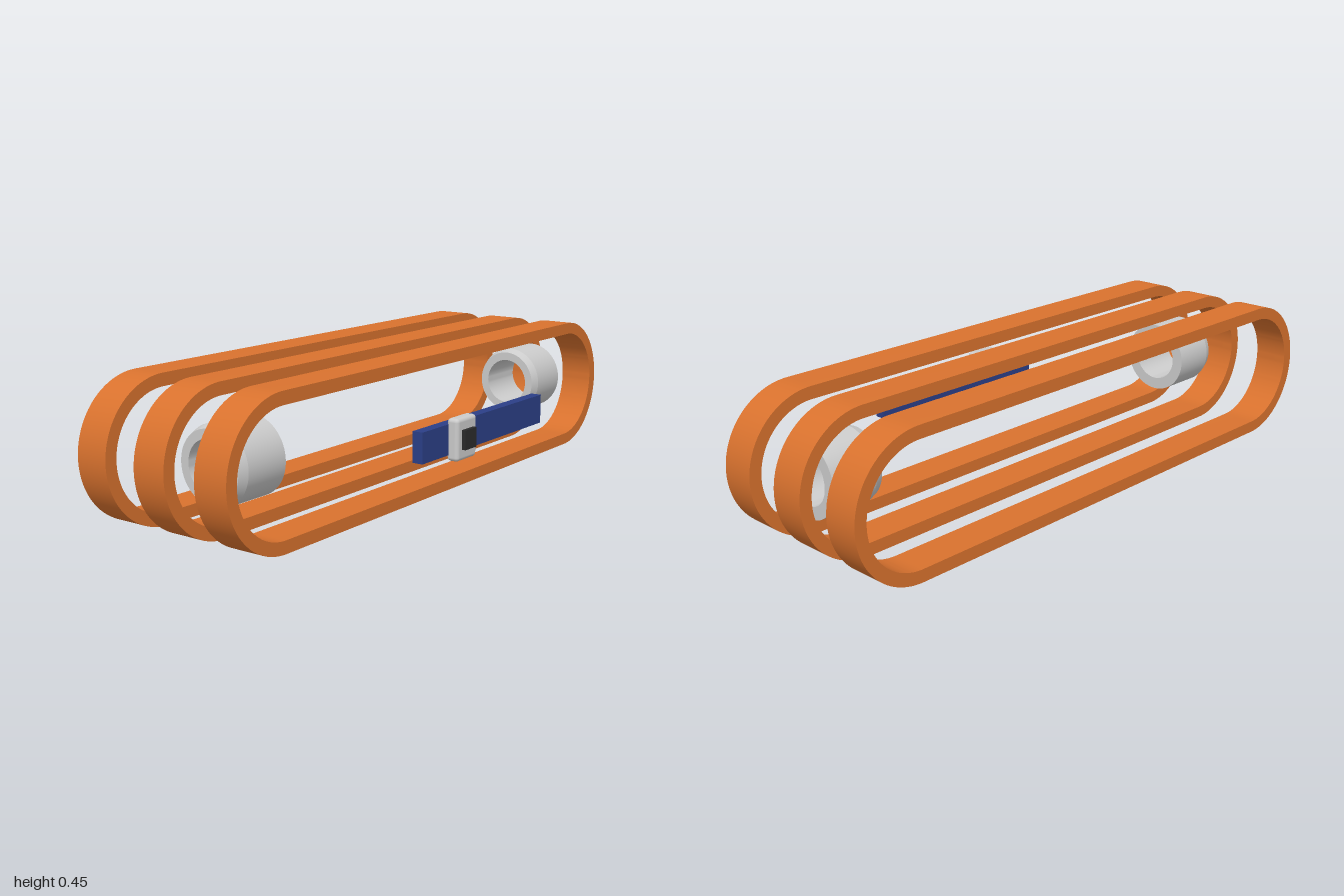
import * as THREE from 'three';
import { toCreasedNormals } from 'three/addons/utils/BufferGeometryUtils.js';
import { RoundedBoxGeometry } from 'three/addons/geometries/RoundedBoxGeometry.js';

const material = (color) => new THREE.MeshStandardMaterial({ color });
const CENTER_Y = 0.224;

// Trace a lying stadium: two half circles joined by straight runs.
function stadium(path, halfRun, radius) {
  path.moveTo(-halfRun, -radius);
  path.lineTo(halfRun, -radius);
  path.absarc(halfRun, 0, radius, -Math.PI / 2, Math.PI / 2, false);
  path.lineTo(-halfRun, radius);
  path.absarc(-halfRun, 0, radius, Math.PI / 2, Math.PI * 1.5, false);
  return path;
}

export function createModel() {
  const group = new THREE.Group();
  const orange = material(0xd9722e);
  const grey = material(0xcccccc);
  const blue = material(0x2b3f87);
  const dark = material(0x2b2b2b);

  const add = (name, geometry, mat, x, y, z) => {
    const mesh = new THREE.Mesh(geometry, mat);
    mesh.name = name;
    mesh.position.set(x, y, z);
    group.add(mesh);
    return mesh;
  };

  // Three upright loop bands, one behind the other
  const depth = 0.113;
  const outline = stadium(new THREE.Shape(), 0.776, 0.224);
  outline.holes.push(stadium(new THREE.Path(), 0.776, 0.185));
  const bandGeometry = toCreasedNormals(
    new THREE.ExtrudeGeometry(outline, { depth, bevelEnabled: false, curveSegments: 32 }), 0.6);
  ['frontBand', 'middleBand', 'rearBand'].forEach((name, i) =>
    add(name, bandGeometry, orange, 0, CENTER_Y, 0.075 - i * 0.2245));

  // Hollow rollers along x, chamfered at the -x end
  const profile = [
    [0.079, 0], [0.079, 0.178], [0.107, 0.178], [0.118, 0.15], [0.118, 0], [0.079, 0],
  ].map(([r, h]) => new THREE.Vector2(r, h)).reverse();
  const rollerGeometry = toCreasedNormals(new THREE.LatheGeometry(profile, 64), 0.3);
  rollerGeometry.rotateZ(Math.PI / 2);
  add('rightRoller', rollerGeometry, grey, -0.672, CENTER_Y, -0.018);
  add('leftRoller', rollerGeometry, grey, 0.878, CENTER_Y, -0.018);

  // Flat strap with a rounded buckle and a dark centre plate
  add('strap', new THREE.BoxGeometry(0.682, 0.094, 0.035), blue, 0, CENTER_Y + 0.001, 0.311);
  add('buckle', new RoundedBoxGeometry(0.106, 0.13, 0.04, 4, 0.012), grey, -0.154, CENTER_Y + 0.001, 0.341);
  add('bucklePlate', new THREE.BoxGeometry(0.06, 0.06, 0.02), dark, -0.154, CENTER_Y + 0.001, 0.364);

  return group;
}
